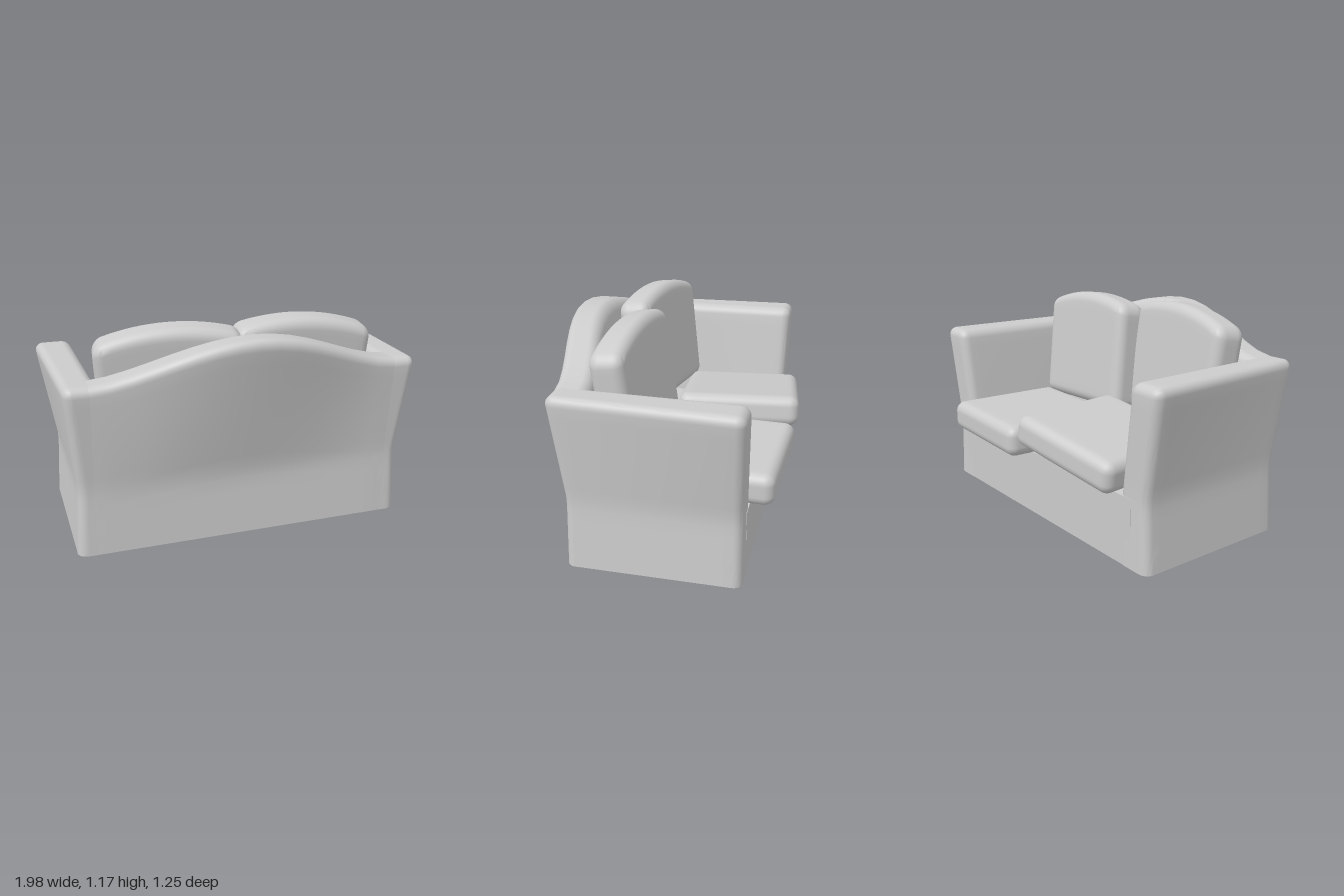
import * as THREE from 'three';
import { mergeVertices, toCreasedNormals } from 'three/addons/utils/BufferGeometryUtils.js';

const { lerp, clamp } = THREE.MathUtils;
const material = new THREE.MeshStandardMaterial({ color: 0xcccccc });
const KNEE = 0.36; // height where the upholstery starts to flare
const HEIGHT = 0.93; // arm height

// Box with rounded edges, finely divided across its flats, then reshaped by warp(point)
function softBox(w, h, d, r, warp) {
  const round = 4, flat = 16, n = flat + 2 * round;
  const spread = (p, size) => {
    const i = Math.round((p + 0.5) * n), half = size / 2, inner = half - r;
    const edge = (k) => inner + r * Math.tan((k / round) * Math.PI / 4);
    if (i < round) return -edge(round - i);
    if (i > n - round) return edge(i - n + round);
    return lerp(-inner, inner, (i - round) / flat);
  };
  let geo = new THREE.BoxGeometry(1, 1, 1, n, n, n);
  geo.deleteAttribute('uv');
  geo.deleteAttribute('normal');
  geo = mergeVertices(geo);
  const pos = geo.attributes.position;
  const p = new THREE.Vector3(), core = new THREE.Vector3();
  const limit = new THREE.Vector3(w / 2 - r, h / 2 - r, d / 2 - r);
  const low = limit.clone().negate();
  for (let i = 0; i < pos.count; i++) {
    p.fromBufferAttribute(pos, i);
    p.set(spread(p.x, w), spread(p.y, h), spread(p.z, d));
    core.copy(p).clamp(low, limit);
    p.sub(core).setLength(r).add(core);
    if (warp) warp(p);
    pos.setXYZ(i, p.x, p.y, p.z);
  }
  return toCreasedNormals(geo, 0.9);
}

function addMesh(parent, name, geometry) {
  const mesh = new THREE.Mesh(geometry, material);
  mesh.name = name;
  parent.add(mesh);
  return mesh;
}

// Piecewise value over height: floor, knee, top
function profile(y, floor, knee, top, topY) {
  return y < KNEE ? lerp(floor, knee, y / KNEE) : lerp(knee, top, (y - KNEE) / (topY - KNEE));
}

// Arms flare outwards above the knee, more at the seat opening than at the back
function armGeometry(side) {
  const sink = 0.06, h = HEIGHT + sink;
  return softBox(0.2, h, 0.94, 0.05, (p) => {
    const y = Math.max(0, p.y + h / 2 - sink);
    const across = p.x * side / 0.2 + 0.5, along = p.z / 0.94 + 0.5;
    const outer = profile(y, 0.92, 0.9, lerp(1.0, 0.95, along), HEIGHT);
    const inner = profile(y, 0.7, 0.71, lerp(0.795, 0.775, along), HEIGHT);
    const front = profile(y, -0.48, -0.475, -0.49, HEIGHT);
    const rear = profile(y, 0.425, 0.42, 0.48, HEIGHT);
    p.set(side * lerp(inner, outer, across), y, lerp(front, rear, along));
  });
}

// Backrest leans back and bows both upwards and outwards in the middle
function backGeometry() {
  const sink = 0.06, h = HEIGHT + sink, d = 0.18;
  return softBox(1.74, h, d, 0.05, (p) => {
    const t = clamp(Math.abs(p.x) / 0.82, 0, 1);
    const bow = Math.pow(0.5 + 0.5 * Math.cos(Math.PI * t), 0.8);
    const topY = HEIGHT + 0.205 * bow;
    const y = Math.max(0, p.y + h / 2 - sink) * topY / HEIGHT;
    const outer = profile(y, 0.425, 0.42, 0.48 + 0.15 * bow, topY);
    const inner = profile(y, 0.24, 0.24, 0.3 + 0.14 * bow, topY);
    p.set(p.x, y, lerp(inner, outer, p.z / d + 0.5));
  });
}

export function createModel() {
  const sofa = new THREE.Group();
  sofa.name = 'sofa';

  // Upholstered frame
  const base = addMesh(sofa, 'seatBase', new THREE.BoxGeometry(1.6, KNEE, 0.828));
  base.position.set(0, KNEE / 2, -0.064);
  addMesh(sofa, 'backrest', backGeometry());
  addMesh(sofa, 'leftArm', armGeometry(1));
  addMesh(sofa, 'rightArm', armGeometry(-1));

  // Loose seat cushions, one tipped against its neighbour
  const seat = softBox(0.71, 0.17, 0.69, 0.055);
  const seats = [
    ['leftSeatCushion', [0.368, 0.437, -0.268], [0, -0.045, 0]],
    ['rightSeatCushion', [-0.345, 0.49, -0.257], [0, 0.11, 0.15]],
  ];

  // Back cushions with arched tops, leaning on the backrest
  const w = 0.77, h = 0.6;
  const pillow = softBox(w, h, 0.18, 0.055, (p) => {
    p.y += 0.065 * (1 - (2 * p.x / w) ** 2) * (p.y / h + 0.5);
  });
  const pillows = [
    ['leftBackCushion', [0.365, 0.79, 0.185], [0.12, -0.05, -0.05]],
    ['rightBackCushion', [-0.365, 0.8, 0.24], [0.12, -0.135, 0.05]],
  ];

  for (const [list, geometry] of [[seats, seat], [pillows, pillow]]) {
    for (const [name, position, rotation] of list) {
      const cushion = addMesh(sofa, name, geometry);
      cushion.position.set(...position);
      cushion.rotation.set(...rotation, 'YXZ');
    }
  }
  return sofa;
}
